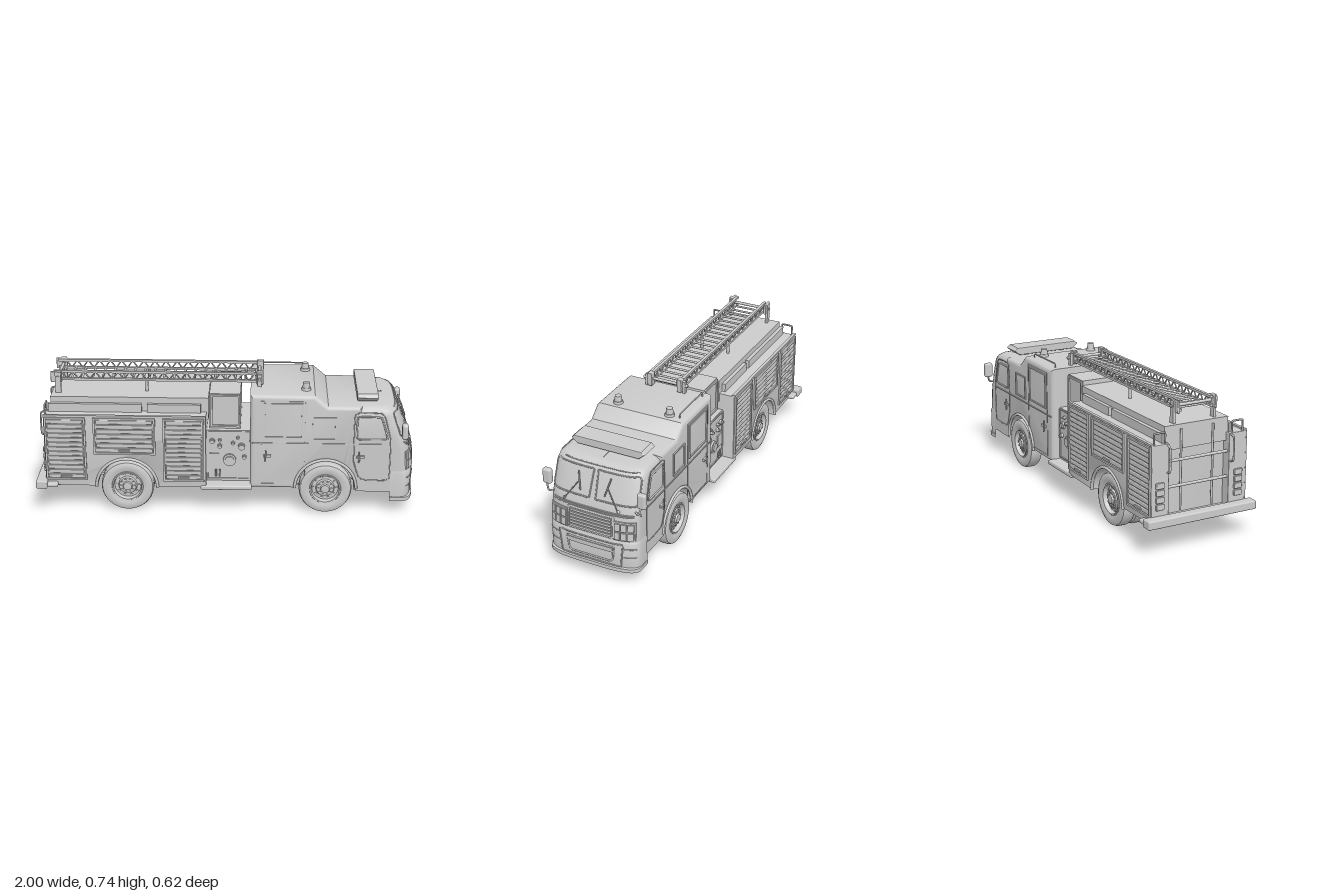
import * as THREE from 'three';
import { toCreasedNormals } from 'three/addons/utils/BufferGeometryUtils.js';
import { RoundedBoxGeometry } from 'three/addons/geometries/RoundedBoxGeometry.js';

const mat = new THREE.MeshStandardMaterial({ color: 0xcccccc });
const V = (x, y, z) => new THREE.Vector3(x, y, z);
const SIDES = [1, -1];

function add(parent, name, geo, x = 0, y = 0, z = 0) {
  const m = new THREE.Mesh(geo, mat);
  m.name = name;
  m.position.set(x, y, z);
  parent.add(m);
  return m;
}
// box given by its limits
const box = (p, name, x0, x1, y0, y1, z0, z1) => add(p, name,
  new THREE.BoxGeometry(x1 - x0, y1 - y0, Math.abs(z1 - z0)), (x0 + x1) / 2, (y0 + y1) / 2, (z0 + z1) / 2);
const softBox = (p, name, x0, x1, y0, y1, z0, z1, r = 0.008) => add(p, name,
  new RoundedBoxGeometry(x1 - x0, y1 - y0, Math.abs(z1 - z0), 3, r), (x0 + x1) / 2, (y0 + y1) / 2, (z0 + z1) / 2);
function rod(p, name, a, b, r, sides = 8) {
  const m = add(p, name, new THREE.CylinderGeometry(r, r, a.distanceTo(b), sides));
  m.position.copy(a).lerp(b, 0.5);
  m.quaternion.setFromUnitVectors(V(0, 1, 0), b.clone().sub(a).normalize());
  return m;
}
function pipe(p, name, pts, r, closed = false) {
  const path = new THREE.CatmullRomCurve3(pts, closed, 'catmullrom', 0.1);
  return add(p, name, new THREE.TubeGeometry(path, pts.length * 6, r, 6, closed));
}
// disc facing along z
function disc(p, name, x, y, z, r, t) {
  const m = add(p, name, new THREE.CylinderGeometry(r, r, t, 20), x, y, z);
  m.rotation.x = Math.PI / 2;
}
// rectangular outline on a body side
function frame(p, name, x0, x1, y0, y1, z, t = 0.006, d = 0.006) {
  const s = new THREE.Shape([[x0, y0], [x1, y0], [x1, y1], [x0, y1]].map(a => new THREE.Vector2(...a)));
  s.holes.push(new THREE.Path([[x0 + t, y0 + t], [x0 + t, y1 - t], [x1 - t, y1 - t], [x1 - t, y0 + t]].map(a => new THREE.Vector2(...a))));
  add(p, name, new THREE.ExtrudeGeometry(s, { depth: d, bevelEnabled: false }), 0, 0, z - d / 2);
}
// full-width side profile with a wheel arch
function archedBody(p, name, cx, left, right, bottom, top, halfW, bevel) {
  const s = new THREE.Shape();
  s.moveTo(left, bottom);
  s.lineTo(cx - 0.158, bottom);
  s.absarc(cx, 0.145, 0.158, Math.PI, 0, true);
  s.lineTo(right, bottom);
  top.forEach(([x, y]) => s.lineTo(x, y));
  const g = new THREE.ExtrudeGeometry(s, { depth: 2 * (halfW - bevel), bevelThickness: bevel, bevelSize: bevel, bevelOffset: -bevel, bevelSegments: 4, curveSegments: 28 });
  add(p, name, toCreasedNormals(g, 0.6), 0, 0, -halfW + bevel);
}

// Rounded nose sections: [height, front x, half width]
const NOSE = [[0.13, 0.98, 0.001], [0.13, 0.985, 0.247], [0.25, 0.985, 0.247], [0.38, 0.975, 0.247], [0.42, 0.962, 0.247], [0.56, 0.91, 0.246],
  [0.585, 0.898, 0.238], [0.6, 0.875, 0.224], [0.606, 0.85, 0.205], [0.606, 0.85, 0.001]];
const BUMPER = [[0.075, 0.98, 0.001], [0.075, 0.99, 0.249], [0.079, 1, 0.254], [0.099, 1, 0.254], [0.102, 0.989, 0.251], [0.235, 0.992, 0.251], [0.248, 0.985, 0.248]];
const DEPTH = 0.09, POW = 3.5;
function surfaceX(sections, y, z) {
  let i = 1;
  while (i < sections.length - 2 && sections[i + 1][0] < y) i++;
  const [a, b] = [sections[i], sections[i + 1]], k = (y - a[0]) / (b[0] - a[0]);
  const px = a[1] + (b[1] - a[1]) * k, w = a[2] + (b[2] - a[2]) * k;
  return px - DEPTH + DEPTH * Math.pow(Math.max(0, 1 - Math.pow(Math.abs(z) / w, POW)), 1 / POW);
}
function noseGeometry(sections, backX) {
  const pos = [], idx = [], N = 40, cols = N + 3;
  for (const [y, px, w] of sections) {
    pos.push(backX, y, -w);
    for (let j = 0; j <= N; j++) {
      const t = (j / N - 0.5) * Math.PI, e = 2 / POW;
      pos.push(px - DEPTH + DEPTH * Math.pow(Math.abs(Math.cos(t)), e), y, w * Math.sign(t) * Math.pow(Math.abs(Math.sin(t)), e));
    }
    pos.push(backX, y, w);
  }
  for (let i = 0; i < sections.length - 1; i++) for (let j = 0; j < cols - 1; j++) {
    const a = i * cols + j, b = a + cols;
    idx.push(a, b, a + 1, b, b + 1, a + 1);
  }
  const g = new THREE.BufferGeometry();
  g.setAttribute('position', new THREE.Float32BufferAttribute(pos, 3));
  g.setIndex(idx);
  return toCreasedNormals(g, 0.7);
}
// panel wrapped onto the curved nose
function nosePanel(p, name, y0, y1, z0, z1, thick = 0.008, sections = NOSE) {
  const g = new THREE.BoxGeometry(thick, y1 - y0, z1 - z0, 1, 6, 14);
  g.translate(0, (y0 + y1) / 2, (z0 + z1) / 2);
  const q = g.attributes.position;
  for (let i = 0; i < q.count; i++) q.setX(i, q.getX(i) + surfaceX(sections, q.getY(i), q.getZ(i)));
  g.computeVertexNormals();
  return add(p, name, g);
}
function noseLine(p, name, pts, r, sections = NOSE, closed = true) {
  const path = [];
  const n = closed ? pts.length : pts.length - 1;
  for (let i = 0; i < n; i++) for (let k = 0; k < 8; k++) {
    const a = pts[i], b = pts[(i + 1) % pts.length], f = k / 8;
    const y = a[0] + (b[0] - a[0]) * f, z = a[1] + (b[1] - a[1]) * f;
    path.push(V(surfaceX(sections, y, z), y, z));
  }
  add(p, name, new THREE.TubeGeometry(new THREE.CatmullRomCurve3(path, closed), path.length * 2, r, 6, closed));
}

function wheel(p, name, x, z, s) {
  const g = new THREE.Group();
  g.name = name;
  const tyre = [[0.078, -0.036], [0.12, -0.038], [0.134, -0.032], [0.14, -0.018], [0.14, 0.018], [0.134, 0.032], [0.12, 0.038], [0.095, 0.037], [0.084, 0.032],
    [0.082, 0.036], [0.075, 0.036], [0.07, 0.012], [0.05, 0.014], [0.045, 0.026], [0.026, 0.028], [0.022, 0.038], [0, 0.04]];
  const lathe = new THREE.LatheGeometry([[0, -0.03], ...tyre].map(a => new THREE.Vector2(...a)), 40);
  add(g, 'tyreAndRim', toCreasedNormals(lathe, 0.6)).rotation.x = Math.PI / 2;
  for (let i = 0; i < 10; i++) {
    const a = i * Math.PI / 5;
    disc(g, 'wheelNut', 0.036 * Math.cos(a), 0.036 * Math.sin(a), 0.028, 0.005, 0.01);
    disc(g, 'rimHole', 0.06 * Math.cos(a), 0.06 * Math.sin(a), 0.014, 0.006, 0.006);
  }
  g.position.set(x, 0.14, z);
  if (s < 0) g.rotation.y = Math.PI;
  p.add(g);
}
function rollDoor(p, x0, x1, y0, y1, s) {
  frame(p, 'shutterFrame', x0, x1, y0, y1, s * 0.27, 0.01, 0.014);
  const n = Math.round((y1 - y0 - 0.02) / 0.026), h = (y1 - y0 - 0.02) / n;
  for (let i = 0; i < n; i++) softBox(p, 'shutterSlat', x0 + 0.014, x1 - 0.014, y0 + 0.012 + i * h, y0 + 0.008 + (i + 1) * h, s * 0.262, s * 0.274, 0.004);
  box(p, 'shutterHandle', (x0 + x1) / 2 - 0.03, (x0 + x1) / 2 + 0.03, y0 + 0.018, y0 + 0.027, s * 0.27, s * 0.281);
}

export function createModel() {
  const model = new THREE.Group();
  const part = name => { const g = new THREE.Group(); g.name = name; model.add(g); return g; };

  // Cab shell
  const cab = part('cab');
  archedBody(cab, 'cabShell', 0.53, 0.13, 0.71, 0.14, [[0.71, 0.606], [0.535, 0.606], [0.465, 0.665], [0.13, 0.665]], 0.247, 0.022);
  add(cab, 'cabNose', noseGeometry(NOSE, 0.69));
  box(cab, 'cabFloor', 0.16, 0.86, 0.135, 0.32, -0.09, 0.09);
  add(cab, 'frontBumper', noseGeometry(BUMPER, 0.87));

  // Windscreen, grille, headlamps and bumper pocket
  const face = part('cabFront');
  for (const y of [0.392, 0.384]) noseLine(face, 'beltTrim', [[y, -0.245], [y, 0], [y, 0.245]], 0.004, NOSE, false);
  noseLine(face, 'browTrim', [[0.59, -0.215], [0.59, 0], [0.59, 0.215]], 0.003, NOSE, false);
  nosePanel(face, 'grilleBack', 0.262, 0.372, -0.125, 0.125);
  noseLine(face, 'grilleFrame', [[0.262, -0.125], [0.262, 0.125], [0.372, 0.125], [0.372, -0.125]], 0.006);
  for (let i = 0; i < 6; i++) nosePanel(face, 'grilleSlat', 0.27 + i * 0.017, 0.281 + i * 0.017, -0.117, 0.117, 0.022);
  noseLine(face, 'bumperPlate', [[0.104, -0.165], [0.104, 0.165], [0.232, 0.178], [0.232, -0.178]], 0.004, BUMPER);
  noseLine(face, 'pocketRim', [[0.125, -0.11], [0.125, 0.11], [0.14, 0.123], [0.21, 0.13], [0.21, -0.13], [0.14, -0.123]], 0.005, BUMPER);
  nosePanel(face, 'pocketLid', 0.183, 0.208, -0.126, 0.126, 0.014, BUMPER);
  for (const s of SIDES) {
    const range = (a, b) => (s > 0 ? [a, b] : [-b, -a]);
    noseLine(face, 'windscreenFrame', [[0.437, s * 0.018], [0.437, s * 0.222], [0.45, s * 0.235], [0.56, s * 0.232], [0.573, s * 0.222], [0.573, s * 0.012]], 0.004);
    nosePanel(face, 'headlampBack', 0.255, 0.358, ...range(0.13, 0.234), 0.012);
    for (let r = 0; r < 2; r++) for (let c = 0; c < 3; c++)
      nosePanel(face, 'headlampLens', 0.263 + r * 0.047, 0.303 + r * 0.047, ...range(0.136 + c * 0.033, 0.163 + c * 0.033), 0.026);
    for (const y of [0.16, 0.21]) noseLine(face, 'bumperTrim', [[y, s * 0.18], [y, s * 0.248]], 0.003, BUMPER, false);
    const on = (y, z, o = 0.012) => V(surfaceX(NOSE, y, z) + o, y, z);
    rod(face, 'wiperArm', on(0.408, s * 0.15), on(0.51, s * 0.078), 0.003);
    rod(face, 'wiperBlade', on(0.465, s * 0.067, 0.009), on(0.553, s * 0.09, 0.009), 0.004);
    add(face, 'wiperPivot', new THREE.SphereGeometry(0.008, 12, 8), ...on(0.408, s * 0.15, 0.006).toArray());
    pipe(face, 'mirrorArm', [V(0.93, 0.41, s * 0.22), V(0.95, 0.41, s * 0.25), V(0.945, 0.45, s * 0.262)], 0.005);
    softBox(face, 'mirror', 0.918, 0.95, 0.442, 0.525, s * 0.238, s * 0.286, 0.012);
  }

  // Cab doors and windows on both sides
  const doors = part('cabSides');
  for (const s of SIDES) {
    const z = s * 0.247;
    frame(doors, 'rearDoor', 0.185, 0.42, 0.165, 0.636, z, 0.004, 0.005);
    frame(doors, 'rearDoorWindow', 0.2, 0.405, 0.43, 0.625, z, 0.008, 0.012);
    frame(doors, 'middleWindow', 0.455, 0.58, 0.42, 0.55, z, 0.008, 0.012);
    pipe(doors, 'frontDoorWindow', [V(0.69, 0.43, z), V(0.845, 0.43, z), V(0.835, 0.48, z), V(0.81, 0.553, z), V(0.69, 0.553, z)], 0.005, true);
    pipe(doors, 'frontDoor', [V(0.675, 0.3, z), V(0.675, 0.573, z), V(0.822, 0.573, z), V(0.862, 0.43, z), V(0.862, 0.2, z), V(0.71, 0.2, z)], 0.003, true);
    box(doors, 'sideTrim', 0.14, 0.86, 0.397, 0.403, s * 0.245, s * 0.251);
    for (const x of [0.2, 0.69]) {
      box(doors, 'doorHandle', x, x + 0.04, 0.322, 0.336, s * 0.245, s * 0.257);
      rod(doors, 'grabHandle', V(x + 0.012, 0.3, s * 0.257), V(x + 0.012, 0.36, s * 0.257), 0.004);
    }
  }

  // Roof lights and rail
  const roof = part('roofEquipment');
  const bar = new THREE.Shape([[-0.17, 0.618], [0.17, 0.618], [0.2, 0.643], [0.185, 0.657], [-0.185, 0.657], [-0.2, 0.643]].map(a => new THREE.Vector2(...a)));
  const barGeo = new THREE.ExtrudeGeometry(bar, { depth: 0.09, bevelThickness: 0.01, bevelSize: 0.006, bevelOffset: -0.003, bevelSegments: 3 });
  add(roof, 'lightBar', barGeo.rotateY(Math.PI / 2), 0.695);
  for (const s of SIDES) {
    box(roof, 'lightBarFoot', 0.72, 0.765, 0.6, 0.625, s * 0.1, s * 0.13);
    add(roof, 'beaconBase', new THREE.CylinderGeometry(0.024, 0.026, 0.016, 20), 0.42, 0.671, s * 0.147);
    add(roof, 'beacon', new THREE.CylinderGeometry(0.017, 0.02, 0.03, 20), 0.42, 0.692, s * 0.147);
  }
  pipe(roof, 'roofRail', [V(0.17, 0.65, -0.205), V(0.17, 0.685, -0.205), V(0.42, 0.685, -0.205), V(0.42, 0.65, -0.205)], 0.004);

  // Rear body, lockers and shutters
  const body = part('rearBody');
  archedBody(body, 'lockerShell', -0.52, -0.9, -0.1, 0.15, [[-0.1, 0.545], [-0.9, 0.545]], 0.268, 0.004);
  box(body, 'bodyCore', -0.9, 0.15, 0.145, 0.32, -0.09, 0.09);
  box(body, 'hoseBed', -0.92, -0.09, 0.5, 0.622, -0.18, 0.18);
  for (const s of SIDES) {
    softBox(body, 'rearLocker', -0.95, -0.89, 0.15, 0.545, s * 0.17, s * 0.268, 0.004);
    rollDoor(body, -0.945, -0.73, 0.185, 0.54, s);
    rollDoor(body, -0.69, -0.365, 0.335, 0.54, s);
    rollDoor(body, -0.325, -0.11, 0.185, 0.54, s);
    box(body, 'lockerLid', -0.93, -0.44, 0.54, 0.59, s * 0.18, s * 0.2);
    box(body, 'lockerLid', -0.41, -0.13, 0.54, 0.59, s * 0.18, s * 0.2);
    box(body, 'lockerTopEdge', -0.95, -0.1, 0.543, 0.553, s * 0.255, s * 0.272);
    pipe(body, 'cornerRail', [V(-0.94, 0.54, s * 0.25), V(-0.94, 0.6, s * 0.25), V(-0.94, 0.6, s * 0.19), V(-0.94, 0.54, s * 0.19)], 0.005);
    // rear lamps and grab rails
    frame(body, 'lampPlate', -0.945, -0.915, 0.2, 0.21, s * 0.269, 0.002);
    for (let i = 0; i < 4; i++) softBox(body, 'rearLamp', -0.962, -0.948, 0.22 + i * 0.036, 0.25 + i * 0.036, s * 0.2, s * 0.245, 0.004);
    pipe(body, 'rearGrabRail', [V(-0.94, 0.4, s * 0.18), V(-0.975, 0.41, s * 0.18), V(-0.975, 0.53, s * 0.18), V(-0.94, 0.54, s * 0.18)], 0.005);
    rod(body, 'rearUpright', V(-0.925, 0.19, s * 0.09), V(-0.925, 0.6, s * 0.09), 0.006);
  }
  for (const y of [0.32, 0.45]) rod(body, 'rearCrossRail', V(-0.93, y, -0.17), V(-0.93, y, 0.17), 0.008);
  softBox(body, 'rearStep', -0.995, -0.885, 0.15, 0.172, -0.3, 0.3);
  softBox(body, 'rearStepEdge', -1, -0.945, 0.145, 0.19, -0.28, 0.28);
  for (const s of SIDES) softBox(body, 'stepEnd', -1, -0.94, 0.145, 0.19, s * 0.265, s * 0.309);

  // Pump bay between lockers and cab
  const pump = part('pumpBay');
  box(pump, 'pumpHousing', -0.11, 0.14, 0.145, 0.45, -0.2, 0.2);
  box(pump, 'pumpUpperBox', -0.085, 0.078, 0.44, 0.645, -0.172, 0.172);
  softBox(pump, 'sideStep', -0.13, 0.14, 0.135, 0.16, -0.272, 0.272);
  const gauges = [[0.022, 0.283, 0.034], [0.085, 0.36, 0.019], [-0.03, 0.362, 0.012], [-0.03, 0.395, 0.009], [0.04, 0.38, 0.01], [0.065, 0.41, 0.009], [-0.07, 0.39, 0.014], [0.1, 0.3, 0.012]];
  for (const s of SIDES) {
    frame(pump, 'pumpPanelFrame', -0.098, 0.128, 0.17, 0.446, s * 0.2, 0.006, 0.012);
    frame(pump, 'upperBoxFrame', -0.08, 0.074, 0.46, 0.64, s * 0.173, 0.01, 0.014);
    gauges.forEach(([x, y, r]) => { disc(pump, 'gauge', x, y, s * 0.205, r, 0.014); disc(pump, 'gaugeCap', x, y, s * 0.21, r * 0.7, 0.018); });
    for (const x of [-0.05, -0.03]) rod(pump, 'valveLever', V(x, 0.19, s * 0.21), V(x, 0.23, s * 0.214), 0.005);
    box(pump, 'controlPlate', -0.085, -0.035, 0.25, 0.32, s * 0.198, s * 0.207);
  }

  // Trussed ladder on its brackets
  const ladder = part('ladder');
  for (const s of SIDES) {
    const z = s * 0.087;
    for (const y of [0.687, 0.729]) box(ladder, 'ladderChord', -0.91, 0.19, y - 0.006, y + 0.006, z - 0.008, z + 0.008);
    for (let i = 0; i < 36; i++) {
      const x = -0.9 + i * 0.03;
      rod(ladder, 'ladderBrace', V(x, i % 2 ? 0.729 : 0.687, z), V(x + 0.03, i % 2 ? 0.687 : 0.729, z), 0.004, 6);
    }
    softBox(ladder, 'ladderEnd', 0.16, 0.196, 0.67, 0.742, s * 0.072, s * 0.098, 0.004);
    softBox(ladder, 'ladderRearEnd', -0.925, -0.865, 0.675, 0.735, s * 0.098, s * 0.112, 0.004);
    box(ladder, 'rearPost', -0.9, -0.87, 0.6, 0.735, s * 0.108, s * 0.122);
    box(ladder, 'frontPost', 0.165, 0.185, 0.655, 0.73, s * 0.1, s * 0.115);
    rod(ladder, 'middlePost', V(-0.42, 0.61, s * 0.08), V(-0.42, 0.685, s * 0.08), 0.008);
  }
  for (let i = 0; i < 20; i++) rod(ladder, 'rung', V(-0.87 + i * 0.054, 0.69, -0.087), V(-0.87 + i * 0.054, 0.69, 0.087), 0.006);
  for (const x of [-0.885, 0.175]) rod(ladder, 'ladderCrossbar', V(x, 0.707, -0.128), V(x, 0.707, 0.128), 0.008, 12);

  // Wheels, arch trims and axles
  const gear = part('runningGear');
  for (const x of [0.53, -0.52]) {
    const front = x > 0, halfW = front ? 0.247 : 0.268;
    for (const s of SIDES) {
      wheel(gear, front ? 'frontWheel' : 'rearWheel', x, s * 0.214, s);
      if (!front) wheel(gear, 'rearInnerWheel', x, s * 0.134, s);
      add(gear, 'archTrim', new THREE.TorusGeometry(0.162, 0.008, 8, 32, Math.PI), x, 0.145, s * halfW);
    }
    rod(gear, 'axle', V(x, 0.14, -0.2), V(x, 0.14, 0.2), 0.022, 16);
    add(gear, 'differential', new THREE.SphereGeometry(0.05, 20, 14), x, 0.14, 0);
  }

  // Chassis rails and cross members
  const chassis = part('chassis');
  for (const s of SIDES) {
    box(chassis, 'chassisRail', -0.93, 0.9, 0.122, 0.15, s * 0.055, s * 0.075);
    softBox(chassis, 'frontSkid', 0.69, 0.83, 0.054, 0.13, s * 0.05, s * 0.08, 0.006);
    box(chassis, 'sillRail', -0.34, 0.36, 0.128, 0.15, s * 0.18, s * 0.195);
  }
  for (const x of [-0.8, -0.7, -0.28, -0.1, 0.08, 0.26]) rod(chassis, 'crossMember', V(x, 0.138, -0.2), V(x, 0.138, 0.2), 0.01);
  rod(chassis, 'driveShaft', V(-0.52, 0.14, 0), V(0.53, 0.14, 0), 0.016, 12);
  return model;
}
